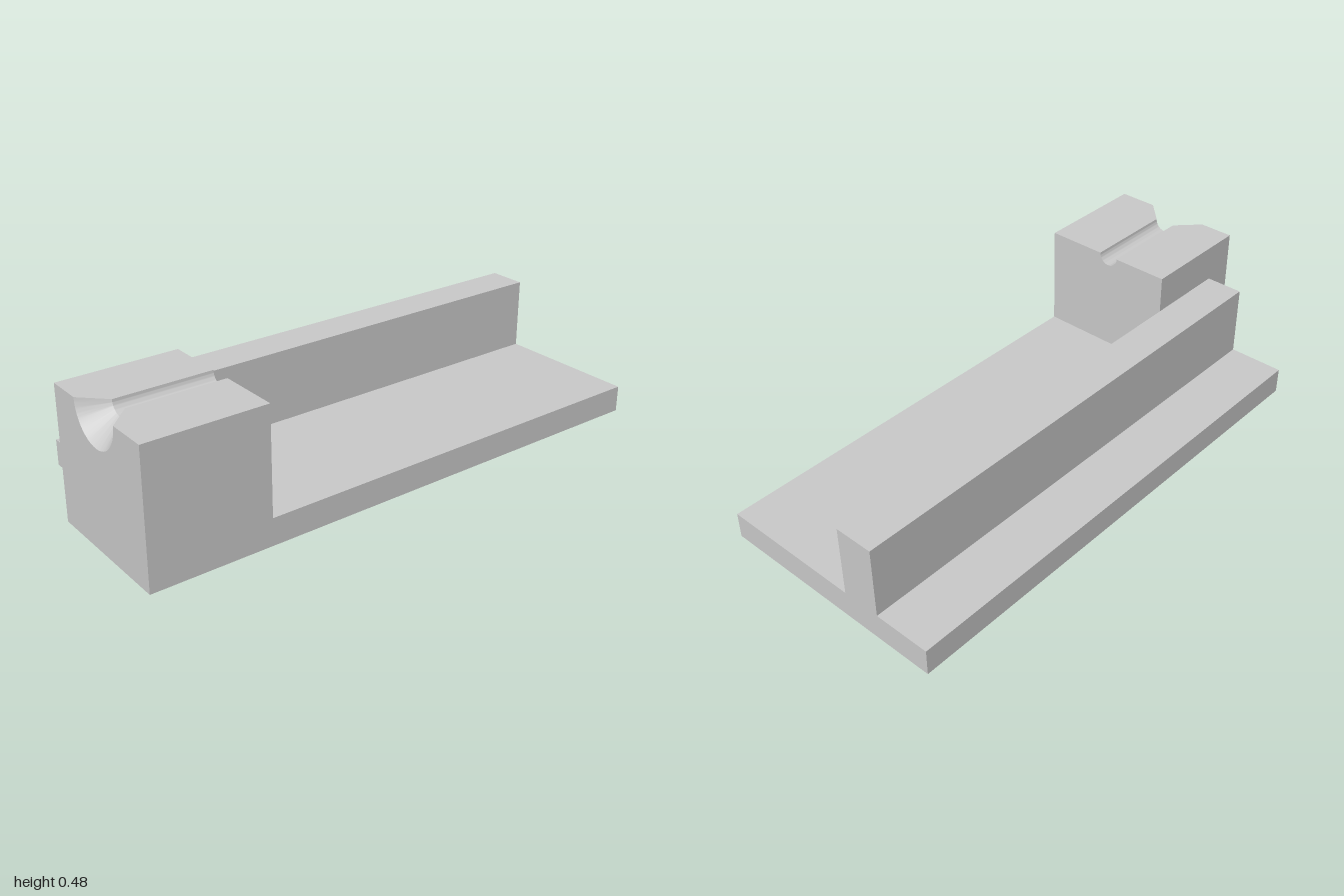
import * as THREE from 'three';
import { toCreasedNormals } from 'three/addons/utils/BufferGeometryUtils.js';

const LEFT = -0.44, RIGHT = 0.44;
const PLATE_TOP = 0.097, RAIL_TOP = 0.36, BLOCK_TOP = 0.479;
const BACK = -1, BLOCK_BACK = 0.57, PLATE_FRONT = 0.854, FUNNEL_BACK = 0.918, FRONT = 1;
const BLOCK_LEFT = -0.074, RAIL = [-0.232, -0.091];
const GROOVE_X = 0.175, GROOVE_R = 0.039, FUNNEL_R = 0.12;

// Extrudes an x-y shape between two z positions
function extrude(shape, z0, z1) {
  const geo = new THREE.ExtrudeGeometry(shape, { depth: z1 - z0, bevelEnabled: false, curveSegments: 28 });
  return geo.translate(0, 0, z0);
}

// Block outline with a half-round notch in its top edge
function notchedShape(r) {
  const s = new THREE.Shape();
  s.moveTo(BLOCK_LEFT, 0);
  s.lineTo(RIGHT, 0);
  s.lineTo(RIGHT, BLOCK_TOP);
  s.lineTo(GROOVE_X + r, BLOCK_TOP);
  s.absarc(GROOVE_X, BLOCK_TOP, r, 0, -Math.PI, true);
  s.lineTo(BLOCK_LEFT, BLOCK_TOP);
  s.closePath();
  return s;
}

export function createModel() {
  const group = new THREE.Group();
  const material = new THREE.MeshStandardMaterial({ color: 0xcccccc });
  const add = (name, geo) => {
    const mesh = new THREE.Mesh(toCreasedNormals(geo, 0.5), material);
    mesh.name = name;
    group.add(mesh);
  };

  // Guide rail with the part of the base plate beside the block
  const railShape = new THREE.Shape([
    [LEFT, 0], [BLOCK_LEFT, 0], [BLOCK_LEFT, PLATE_TOP], [RAIL[1], PLATE_TOP],
    [RAIL[1], RAIL_TOP], [RAIL[0], RAIL_TOP], [RAIL[0], PLATE_TOP], [LEFT, PLATE_TOP],
  ].map(([x, y]) => new THREE.Vector2(x, y)));
  add('guideRail', extrude(railShape, BACK, PLATE_FRONT));

  // Base plate behind the block
  const plate = new THREE.BoxGeometry(RIGHT - BLOCK_LEFT, PLATE_TOP, BLOCK_BACK - BACK);
  plate.translate((RIGHT + BLOCK_LEFT) / 2, PLATE_TOP / 2, (BLOCK_BACK + BACK) / 2);
  add('basePlate', plate);

  // Block with a straight groove
  add('grooveBlock', extrude(notchedShape(GROOVE_R), BLOCK_BACK, FUNNEL_BACK));

  // Front of the block: the notch narrows from the funnel mouth to the groove
  const funnel = extrude(notchedShape(FUNNEL_R), FUNNEL_BACK, FRONT);
  const p = funnel.attributes.position;
  for (let i = 0; i < p.count; i++) {
    const dx = p.getX(i) - GROOVE_X, dy = p.getY(i) - BLOCK_TOP;
    if (p.getZ(i) < FUNNEL_BACK + 0.01 && Math.hypot(dx, dy) < FUNNEL_R + 0.001) {
      const k = GROOVE_R / FUNNEL_R;
      p.setXY(i, GROOVE_X + dx * k, BLOCK_TOP + dy * k);
    }
  }
  add('funnelFront', funnel);

  return group;
}
